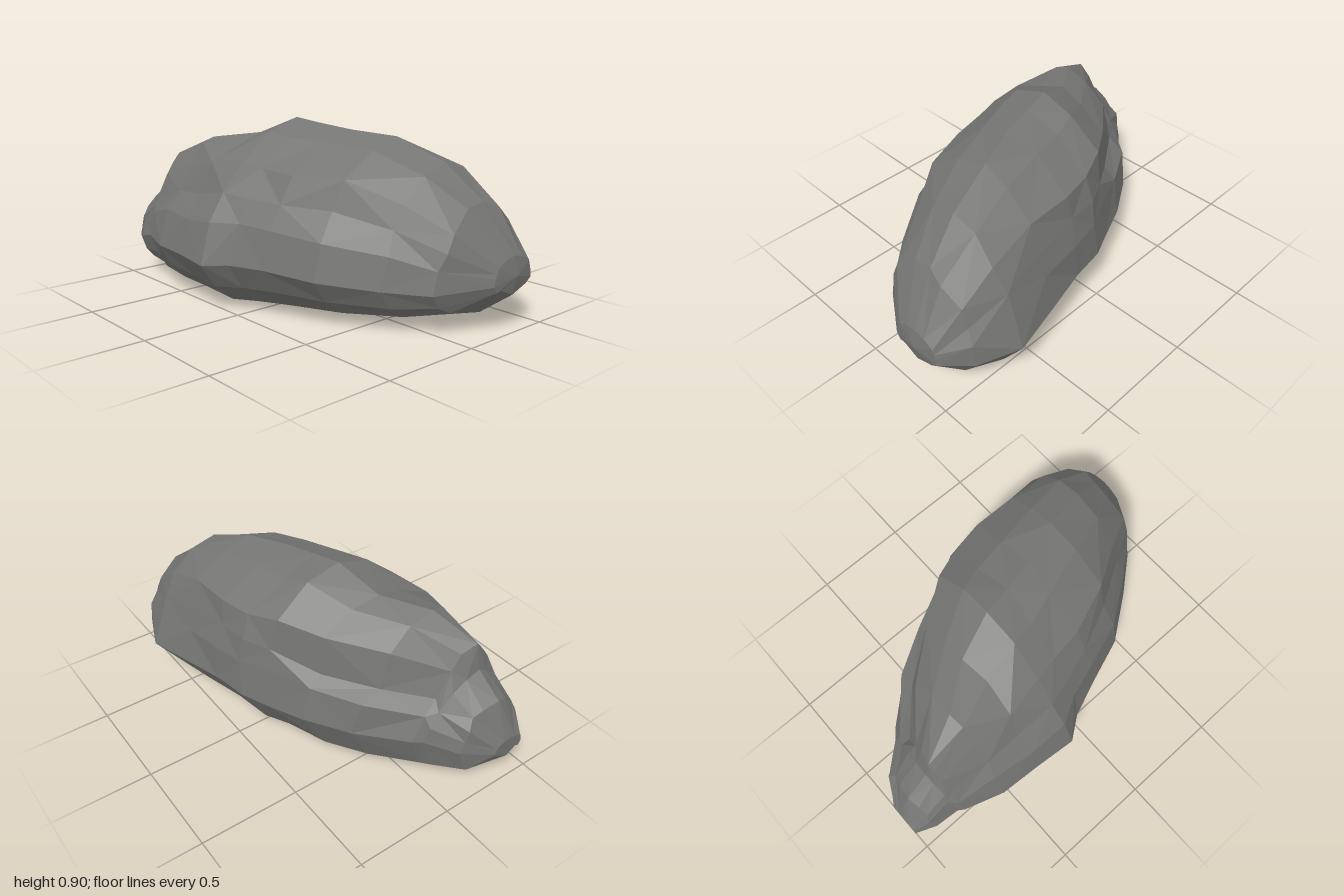
import * as THREE from 'three';

// Cross-sections from front to back:
// z, base y, top y, ridge x, right edge x, left edge x, edge y, right shoulder x, left shoulder x
const SECTIONS = [
  [0.98, 0.17, 0.35, 0.31, 0.17, 0.44, 0.23, 0.20, 0.42],
  [0.84, 0.07, 0.58, 0.26, -0.06, 0.54, 0.20, 0.04, 0.46],
  [0.65, 0.03, 0.74, 0.21, -0.21, 0.62, 0.21, -0.07, 0.46],
  [0.41, 0.02, 0.84, 0.15, -0.38, 0.57, 0.23, -0.20, 0.44],
  [0.17, 0.01, 0.86, 0.06, -0.47, 0.51, 0.25, -0.30, 0.43],
  [0.0, 0.0, 0.88, 0.02, -0.54, 0.48, 0.25, -0.33, 0.40],
  [-0.13, 0.0, 0.90, -0.01, -0.62, 0.42, 0.24, -0.36, 0.33],
  [-0.34, 0.01, 0.81, -0.08, -0.60, 0.34, 0.25, -0.39, 0.20],
  [-0.55, 0.02, 0.78, -0.23, -0.585, 0.21, 0.25, -0.38, 0.01],
  [-0.75, 0.03, 0.68, -0.32, -0.52, 0.02, 0.25, -0.41, -0.18],
  [-0.79, 0.04, 0.55, -0.32, -0.50, -0.02, 0.25, -0.44, -0.17],
  [-0.91, 0.06, 0.45, -0.33, -0.485, -0.13, 0.22, -0.45, -0.19],
  [-1.0, 0.15, 0.26, -0.36, -0.44, -0.27, 0.20, -0.43, -0.29],
];

// Outline points of a loop that stay unchipped: base, edges and ridge
const OUTLINE = [0, 1, 2, 7, 12, 13, 14];

function seeded(seed) {
  return () => {
    seed = (seed * 16807) % 2147483647;
    return seed / 2147483647 - 0.5;
  };
}

// One closed loop of the boulder, counter-clockwise as seen from the front
function sectionLoop([z, base, top, ridge, xR, xL, edge, sR, sL]) {
  const mix = THREE.MathUtils.lerp;
  const width = xL - xR;
  const back = z < -0.2 && z > -0.78;
  const shoulder = mix(base, top, z < -0.2 ? 0.84 : 0.79);
  // flank from the widest edge up past the shoulder, stepping in at [depth, height]
  const flank = (x, s, [depth, height]) => [
    [x, edge],
    [mix(x, s, 0.27), mix(edge, shoulder, 0.42)],
    [mix(x, s, depth), mix(edge, shoulder, height)],
    [s, shoulder],
    [mix(s, ridge, 0.5), mix(shoulder, top, 0.72)],
  ];
  return [
    [(xL + xR) / 2, base],
    [xL - width * 0.13, base + 0.035],
    ...flank(xL, sL, back ? [0.72, 0.56] : [0.62, 0.70]),
    [ridge, top],
    ...flank(xR, sR, [0.6, 0.68]).reverse(),
    [xR + width * 0.08, mix(base, edge, 0.5)],
    [xR + width * 0.18, base + 0.035],
  ];
}

function boulderGeometry() {
  const random = seeded(417);
  const loops = SECTIONS.map(sectionLoop);
  const n = loops[0].length;
  const last = loops.length - 1;
  const positions = [];
  const index = [];

  // Loops, with slight chipping between the outline points
  loops.forEach((loop, i) => loop.forEach(([x, y], j) => {
    const inner = i > 0 && i < last;
    const chip = inner && !OUTLINE.includes(j) ? 0.025 : 0;
    const shift = inner ? 0.03 : 0;
    positions.push(x + random() * chip, y + random() * chip, SECTIONS[i][0] + random() * shift);
  }));

  // Skin, with the diagonals turned both ways for broken facets
  for (let i = 0; i < last; i++) {
    for (let j = 0; j < n; j++) {
      const k = (j + 1) % n;
      const a = i * n + j, b = i * n + k, c = a + n, d = b + n;
      if ((i + j) % 2) index.push(a, c, b, b, c, d);
      else index.push(a, c, d, a, d, b);
    }
  }

  // Blunt ends
  [[0, 1], [last, -1]].forEach(([i, side]) => {
    const [, base, top, ridge] = SECTIONS[i];
    const centre = positions.length / 3;
    positions.push(ridge, (base + top) / 2, side);
    for (let j = 0; j < n; j++) {
      const a = i * n + j, b = i * n + ((j + 1) % n);
      index.push(centre, ...(side > 0 ? [a, b] : [b, a]));
    }
  });

  const indexed = new THREE.BufferGeometry();
  indexed.setAttribute('position', new THREE.Float32BufferAttribute(positions, 3));
  indexed.setIndex(index);
  const geometry = indexed.toNonIndexed();
  geometry.computeVertexNormals();
  return geometry;
}

export function createModel() {
  const stone = new THREE.MeshStandardMaterial({ color: 0x757573, flatShading: true });
  stone.name = 'grey stone';
  const boulder = new THREE.Mesh(boulderGeometry(), stone);
  boulder.name = 'boulder';
  const group = new THREE.Group();
  group.name = 'rock';
  group.add(boulder);
  return group;
}
